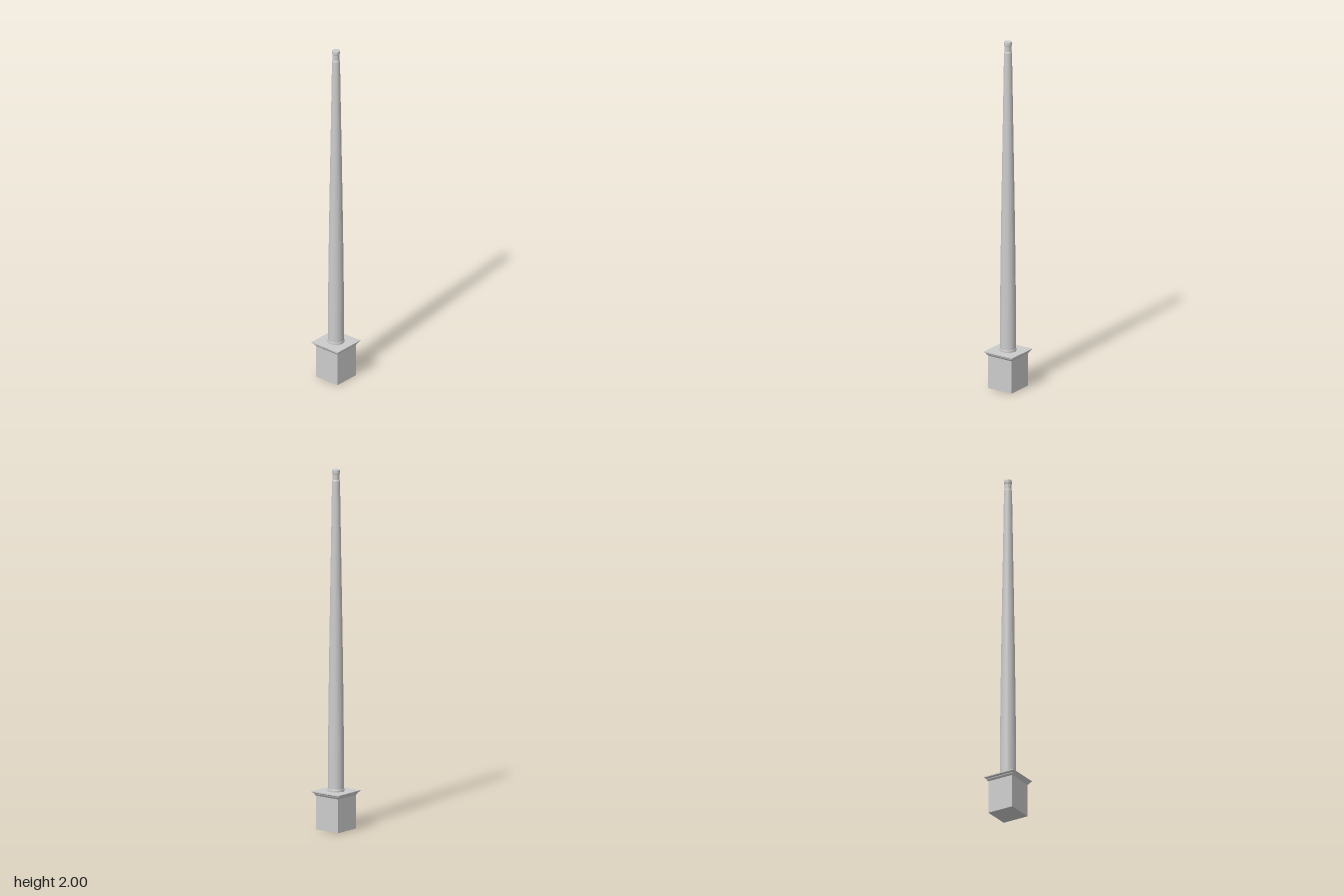
import * as THREE from 'three';

const material = new THREE.MeshStandardMaterial({ color: 0xcccccc, flatShading: true });

// Solid of revolution from [radius, height] pairs, listed bottom to top
function turned(name, profile, sides) {
  const points = profile.map(([r, y]) => new THREE.Vector2(r, y));
  const mesh = new THREE.Mesh(new THREE.LatheGeometry(points, sides), material);
  mesh.name = name;
  return mesh;
}

// Square block with a moulded outline, from [half width, height] pairs
function squared(name, profile) {
  const mesh = turned(name, profile.map(([w, y]) => [w * Math.SQRT2, y]), 4);
  mesh.geometry.rotateY(Math.PI / 4);
  return mesh;
}

export function createModel() {
  const group = new THREE.Group();
  group.name = 'column';

  // Plinth block
  group.add(squared('plinth', [[0, 0], [0.077, 0], [0.077, 0.195], [0, 0.195]]));

  // Stepped cornice flaring out over the plinth
  group.add(squared('cornice', [
    [0.077, 0.188], [0.081, 0.193], [0.085, 0.198], [0.085, 0.201],
    [0.091, 0.206], [0.094, 0.208], [0.094, 0.213], [0, 0.213],
  ]));

  // Tapering shaft with a gentle swelling
  group.add(turned('shaft', [
    [0.046, 0.213], [0.046, 0.222], [0.044, 0.228], [0.044, 0.4], [0.041, 0.7],
    [0.037, 1.0], [0.033, 1.25], [0.028, 1.55], [0.024, 1.8],
    [0.022, 1.93], [0.022, 1.938], [0.019, 1.945],
  ], 32));

  // Neck, ring and flat cap at the top
  group.add(turned('neck', [
    [0.019, 1.945], [0.019, 1.976], [0.021, 1.98], [0.021, 1.996], [0.02, 2], [0, 2],
  ], 32));

  return group;
}
